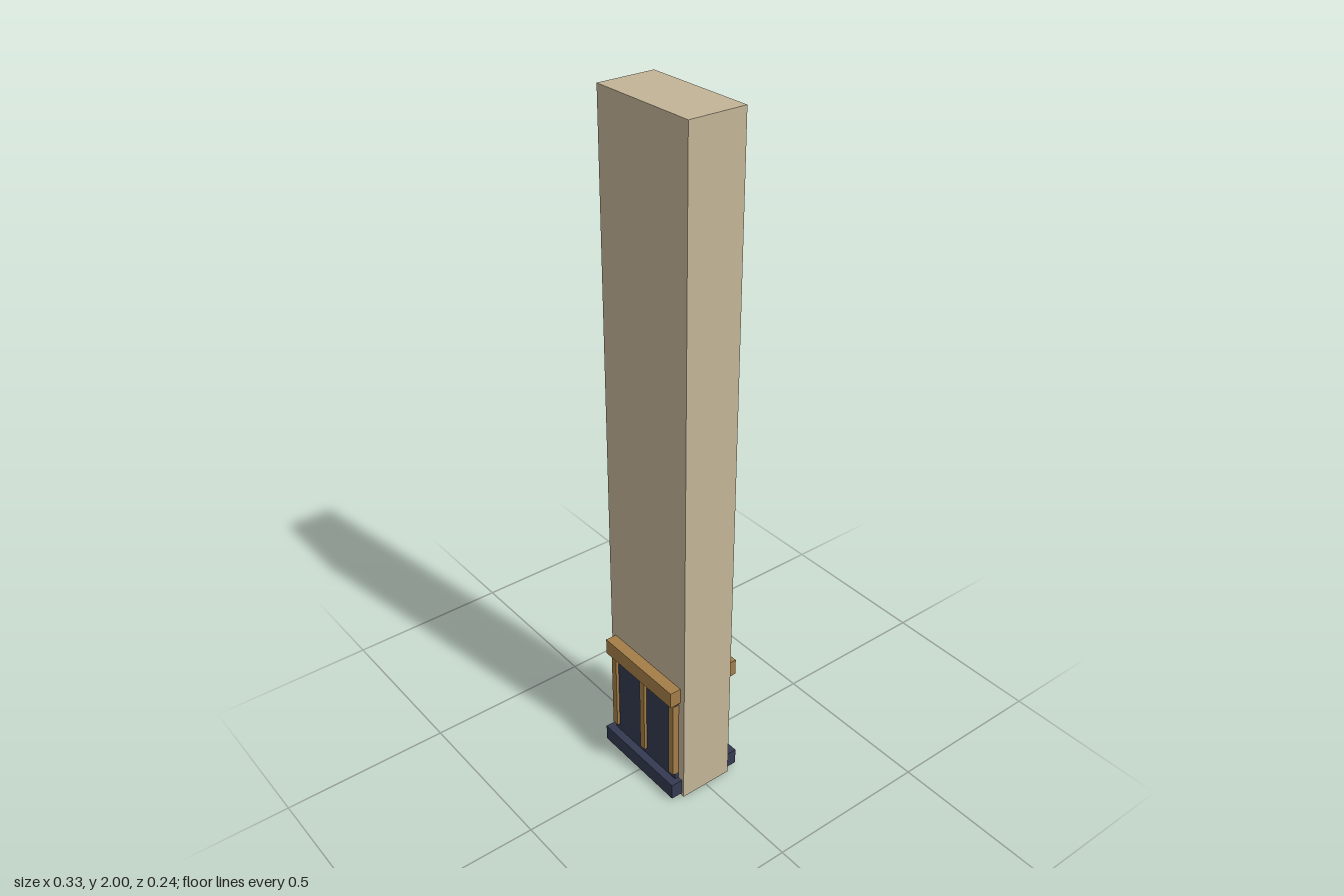
import * as THREE from 'three';

const paint = (name, color) => Object.assign(new THREE.MeshStandardMaterial({ color }), { name });

export function createModel() {
  const plaster = paint('beige plaster', 0xc3b497);
  const wood = paint('warm wood', 0xa37d47);
  const navy = paint('navy paint', 0x343a51);
  const model = new THREE.Group();
  model.name = 'wallSegment';

  // Box given by its centre x, width, and y and z ranges
  function box(parent, name, material, x, width, y0, y1, z0, z1) {
    const mesh = new THREE.Mesh(new THREE.BoxGeometry(width, y1 - y0, z1 - z0), material);
    mesh.name = name;
    mesh.position.set(x, (y0 + y1) / 2, (z0 + z1) / 2);
    parent.add(mesh);
  }

  // Tall wall
  const face = 0.083;
  box(model, 'wall', plaster, 0, 0.334, 0, 2, -face, face);

  // The same wainscot on the front and the back
  for (const side of ['front', 'back']) {
    const wainscot = new THREE.Group();
    wainscot.name = side + 'Wainscot';
    box(wainscot, 'panel', navy, 0, 0.284, 0.03, 0.36, face, 0.095);
    box(wainscot, 'baseboard', navy, 0, 0.318, 0.009, 0.059, face, 0.119);
    box(wainscot, 'capRail', wood, 0, 0.3, 0.347, 0.397, face, 0.117);
    for (const x of [-0.133, 0, 0.133]) {
      box(wainscot, 'batten', wood, x, 0.02, 0.08, 0.335, face, 0.104);
    }
    if (side === 'back') wainscot.rotation.y = Math.PI;
    model.add(wainscot);
  }
  return model;
}
